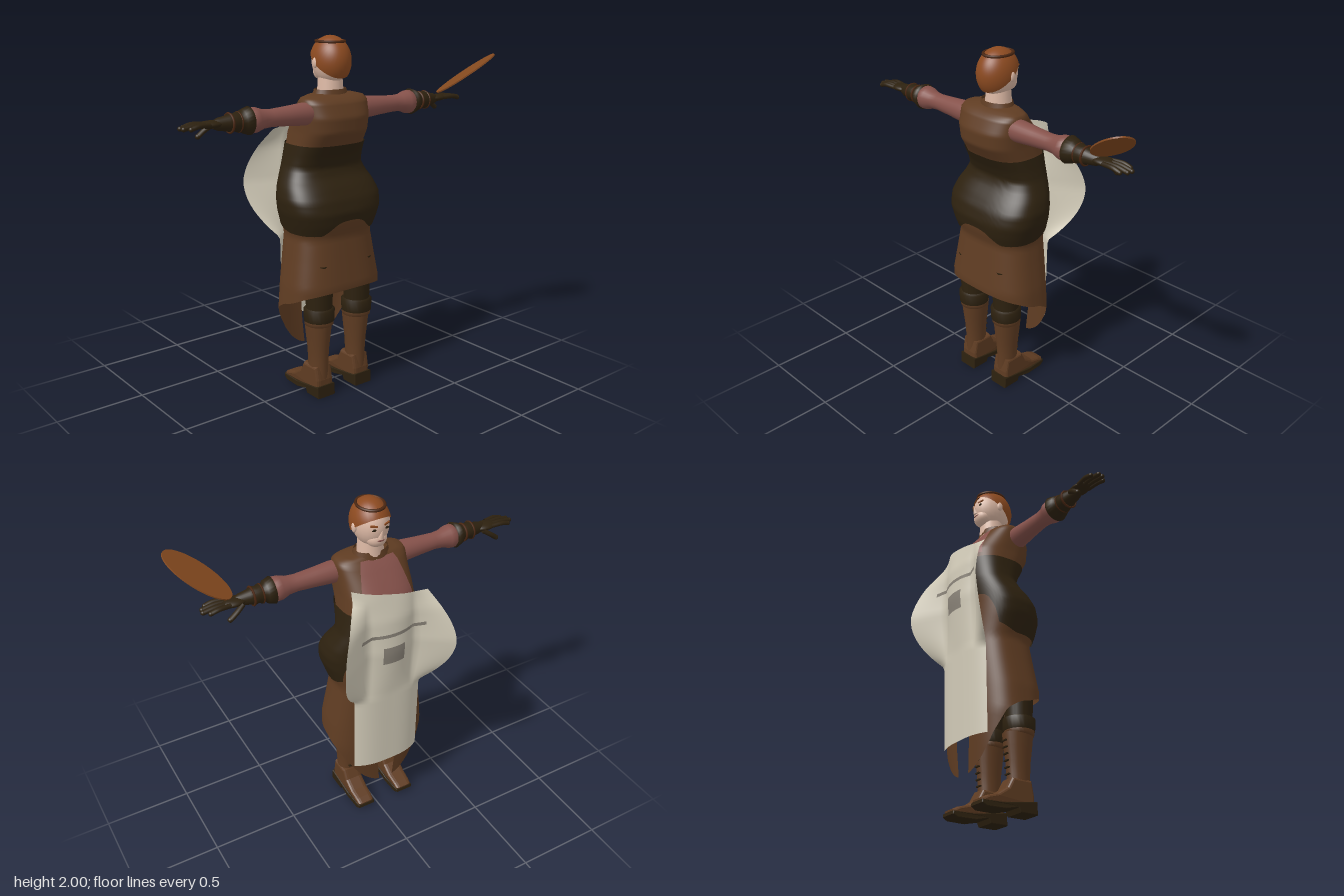
import * as THREE from 'three';

const CX = -0.055; // body centre line
const mat = (name, color) => Object.assign(new THREE.MeshStandardMaterial({ color, side: THREE.DoubleSide }), { name });
const { lerp, clamp } = THREE.MathUtils;

// linear lookup in rows sorted by descending or ascending first column
function lookup(rows, k, col) {
  const r = rows[0][0] > rows[rows.length - 1][0] ? [...rows].reverse() : rows;
  if (k <= r[0][0]) return r[0][col];
  for (let i = 1; i < r.length; i++) {
    if (k <= r[i][0]) return lerp(r[i - 1][col], r[i][col], (k - r[i - 1][0]) / (r[i][0] - r[i - 1][0]));
  }
  return r[r.length - 1][col];
}

// surface from a point function f(u, v), u and v in 0..1
function grid(f, nu, nv) {
  const pos = [], idx = [];
  for (let j = 0; j <= nv; j++) for (let i = 0; i <= nu; i++) pos.push(...f(i / nu, j / nv));
  for (let j = 0; j < nv; j++) for (let i = 0; i < nu; i++) {
    const a = j * (nu + 1) + i, b = a + nu + 1;
    idx.push(a, a + 1, b, b, a + 1, b + 1);
  }
  const g = new THREE.BufferGeometry();
  g.setAttribute('position', new THREE.Float32BufferAttribute(pos, 3));
  g.setIndex(idx);
  g.computeVertexNormals();
  return g;
}

// body profile: y, half width, back z, chest-side z
const BODY = [
  [1.705, 0.05, 0.06, -0.02], [1.70, 0.11, 0.09, -0.03], [1.685, 0.19, 0.13, -0.035], [1.66, 0.205, 0.165, -0.06],
  [1.58, 0.205, 0.2, -0.12], [1.5, 0.205, 0.195, -0.175], [1.43, 0.21, 0.15, -0.185], [1.36, 0.22, 0.11, -0.185],
  [1.3, 0.232, 0.085, -0.185], [1.25, 0.255, 0.105, -0.18], [1.2, 0.28, 0.15, -0.175], [1.14, 0.297, 0.19, -0.17],
  [1.07, 0.292, 0.21, -0.17], [1.0, 0.27, 0.2, -0.172], [0.93, 0.248, 0.178, -0.175], [0.8, 0.268, 0.195, -0.175],
  [0.65, 0.293, 0.215, -0.172], [0.5, 0.305, 0.2, -0.17], [0.35, 0.28, 0.18, -0.165], [0.2, 0.22, 0.15, -0.16],
];
function bodyPoint(th, y, off) {
  const hw = lookup(BODY, y, 1) + off, zb = lookup(BODY, y, 2) + off, zf = lookup(BODY, y, 3) - off;
  const pw = (t) => Math.sign(t) * Math.abs(t) ** 0.75;
  return [CX + hw * pw(Math.sin(th)), y, (zb + zf) / 2 - ((zb - zf) / 2) * pw(Math.cos(th))];
}
// clothing patch: angle starts and ends at the chest, hem height depends on angle
const garment = (top, hem, off, gap = 0, nv = 26) => grid((u, v) => {
  const th = lerp(gap, Math.PI * 2 - gap, u);
  return bodyPoint(th, lerp(top, hem(-Math.cos(th)), v), off);
}, 72, nv);

const SKIRT_HEM = [[-1, 0.2], [-0.85, 0.28], [-0.7, 0.38], [-0.4, 0.5], [0, 0.555], [0.5, 0.6], [1, 0.63]];
const CORSET_HEM = [[-1, 1.2], [-0.8, 1.17], [-0.5, 1.0], [0, 0.955], [0.85, 0.95], [0.93, 0.975], [1, 1.025]];

// apron sheet, a in -1..1 across, y height
const APRON_Z = [[0.38, -0.195], [0.9, -0.205], [1.2, -0.235], [1.4, -0.225], [1.6, -0.18]];
function apronPoint(s, y, off = 0) {
  const a = Math.abs(s);
  const wing = y > 0.88 && y < 1.53 ? Math.sin(Math.PI * ((y - 0.88) / 0.65) ** 0.9) : 0;
  const x = a * 0.21 + wing * 0.135 * Math.max(0, (a - 0.6) / 0.4);
  const fold = a < 0.65 ? 0.04 * (a / 0.65) ** 2 : 0.04 - 0.12 * (a - 0.65) / 0.35;
  const z = lookup(APRON_Z, y, 1) + 0.045 * a ** 3 * (1 - wing) + wing * fold;
  return [CX + Math.sign(s) * x, y, z - off];
}
const apronPatch = (s0, s1, y0, y1, off) =>
  grid((u, v) => apronPoint(lerp(s0, s1, u), lerp(y0, y1, v), off), 10, 4);

const lathe = (pts, n = 24) => new THREE.LatheGeometry(pts.map(([r, y]) => new THREE.Vector2(r, y)), n);

// side outline extruded across the foot; outline x runs toward the toe
function footPiece(pts, width, bevel) {
  const g = new THREE.ExtrudeGeometry(new THREE.Shape(pts.map(([f, y]) => new THREE.Vector2(f, y))), {
    depth: width - 2 * bevel, bevelThickness: bevel, bevelSize: bevel * 0.6, bevelOffset: -bevel * 0.6, bevelSegments: 3, steps: 1,
  });
  g.translate(0, 0, -width / 2 + bevel).rotateY(Math.PI / 2);
  const p = g.attributes.position;
  for (let i = 0; i < p.count; i++) p.setX(i, p.getX(i) * (1 - 1.8 * Math.max(0, -p.getZ(i) - 0.1)));
  g.computeVertexNormals();
  return g;
}

export function createModel() {
  const root = new THREE.Group();
  const M = {
    brown: mat('leather brown', 0x5f3c22), dark: mat('dark leather', 0x2d210f), pink: mat('shirt rose', 0x85514a),
    cream: mat('apron cream', 0xd3ccb9), grey: mat('pocket grey', 0x8b8479), skin: mat('skin', 0xdcb8a4),
    hair: mat('hair ginger', 0x8c4a20), copper: mat('copper pan', 0x84491f), band: mat('band brown', 0x4a2611),
  };
  const add = (name, geo, m, x = 0, y = 0, z = 0, parent = root) => {
    const mesh = new THREE.Mesh(geo, m);
    mesh.name = name;
    mesh.position.set(x, y, z);
    parent.add(mesh);
    return mesh;
  };
  const ball = (name, m, x, y, z, rx, ry, rz) =>
    add(name, new THREE.SphereGeometry(1, 24, 16).scale(rx, ry, rz), m, x, y, z);
  const rod = (name, m, pts, r) => add(name, new THREE.TubeGeometry(
    new THREE.CatmullRomCurve3(pts.map((p) => new THREE.Vector3(...p))), 8, r, 8), m);

  // torso clothing
  add('vest', garment(1.705, () => 1.4, 0), M.brown);
  add('corset', garment(1.43, (c) => lookup(CORSET_HEM, c, 1), 0.008), M.dark);
  add('skirt', garment(1.22, (c) => lookup(SKIRT_HEM, c, 1), 0, 0.12), M.brown);
  add('shirtFront', grid((u, v) => {
    const w = lerp(0.4, 0.75, v);
    return bodyPoint(lerp(-w, w, u), lerp(1.685, 1.46, v), 0.006);
  }, 16, 8), M.pink);
  add('collar', new THREE.CylinderGeometry(0.095, 0.108, 0.04, 28, 1, true).scale(1, 1, 0.75), M.brown, CX, 1.7, 0.03);

  // apron with pocket and strap
  add('apron', grid((u, v) => {
    const s = u * 2 - 1;
    return apronPoint(s, lerp(1.545 + 0.05 * s, 0.38, v));
  }, 40, 48), M.cream);
  add('pocket', apronPatch(-0.3, 0.32, 1.24, 1.13, 0.006), M.grey);
  add('apronStrap', apronPatch(-0.75, 0.75, 1.325, 1.305, 0.007), M.grey);

  // head, facing -z
  const hx = -0.05;
  add('neck', new THREE.CylinderGeometry(0.062, 0.075, 0.18, 24), M.skin, hx, 1.75, 0.025);
  ball('face', M.skin, hx, 1.865, 0.025, 0.092, 0.125, 0.113);
  ball('jaw', M.skin, hx, 1.805, -0.035, 0.058, 0.05, 0.052);
  const hairGeo = new THREE.SphereGeometry(1, 32, 20, 0, Math.PI * 2, 0, 1.66)
    .rotateX(0.61).scale(0.104, 0.135, 0.125);
  add('hair', hairGeo, M.hair, hx, 1.865, 0.028);
  const band = add('headband', new THREE.TorusGeometry(0.07, 0.008, 8, 32).rotateX(Math.PI / 2), M.band, hx, 1.968, 0.025);
  band.scale.set(1, 1, 1.2);
  const nose = add('nose', new THREE.ConeGeometry(0.016, 0.055, 10), M.skin, hx, 1.85, -0.093);
  nose.rotation.x = -0.35;
  ball('mouth', M.pink, hx, 1.808, -0.083, 0.022, 0.006, 0.006);
  for (const s of [-1, 1]) {
    ball('ear', M.skin, hx + s * 0.098, 1.86, 0.02, 0.012, 0.028, 0.018);
    ball('eye', M.dark, hx + s * 0.036, 1.872, -0.079, 0.014, 0.007, 0.004);
    const brow = add('eyebrow', new THREE.BoxGeometry(0.038, 0.008, 0.008), M.hair, hx + s * 0.037, 1.894, -0.077);
    brow.rotation.set(0, s * -0.3, s * 0.12);
  }

  // arms stretched out sideways
  for (const s of [-1, 1]) {
    const X = (d) => CX + s * d;
    const limb = (name, pts, m) => {
      add(name, lathe(pts).rotateZ(-s * Math.PI / 2), m, CX, 1.605, 0.07);
    };
    limb('sleeve', [[0.06, 0.16], [0.06, 0.22], [0.052, 0.32], [0.046, 0.42], [0.05, 0.47], [0.064, 0.51],
      [0.066, 0.54], [0.05, 0.565], [0.03, 0.57]], M.pink);
    limb('gloveCuff', [[0.04, 0.55], [0.073, 0.552], [0.06, 0.59], [0.042, 0.605], [0.052, 0.62], [0.044, 0.64],
      [0.05, 0.66], [0.04, 0.68], [0.032, 0.73], [0.02, 0.76]], M.dark);
    for (const d of [0.615, 0.665]) {
      const strap = add('gloveStrap', new THREE.TorusGeometry(0.048, 0.006, 6, 24), M.band, X(d), 1.605, 0.07);
      strap.rotation.y = Math.PI / 2;
    }
    ball('palm', M.dark, X(0.765), 1.608, 0.065, 0.068, 0.02, 0.046);
    [0.9, 0.925, 0.93, 0.9].forEach((d, i) => {
      const z = 0.11 - i * 0.027;
      rod('finger', M.dark, [[X(0.79), 1.61, lerp(z, 0.065, 0.2)], [X(0.86), 1.612, z], [X(d), 1.602, z]], 0.0125);
      ball('fingertip', M.dark, X(d), 1.602, z, 0.0125, 0.0125, 0.0125);
    });
    rod('thumb', M.dark, [[X(0.73), 1.6, 0.03], [X(0.77), 1.575, 0.015], [X(0.81), 1.545, 0.012]], 0.014);
    ball('thumbTip', M.dark, X(0.81), 1.545, 0.012, 0.014, 0.014, 0.014);
  }

  // tilted pan beside the hand
  const a = new THREE.Vector3(0.14, 0.101, 0.06), b = new THREE.Vector3(0, 0.0488, 0.1157);
  const n = b.clone().cross(a).normalize();
  const pan = new THREE.CylinderGeometry(1, 1, 0.008, 48);
  pan.applyMatrix4(new THREE.Matrix4().makeBasis(a, n, b));
  pan.computeVertexNormals();
  add('pan', pan.toNonIndexed(), M.copper, 0.842, 1.748, 0.17).geometry.computeVertexNormals();

  // legs and boots
  for (const s of [-1, 1]) {
    const x = CX + s * 0.135;
    add('stocking', new THREE.CylinderGeometry(0.085, 0.072, 0.3, 24), M.dark, x, 0.63, 0.1);
    add('bootShaft', lathe([[0.052, 0.1], [0.052, 0.2], [0.056, 0.28], [0.064, 0.36], [0.07, 0.43]])
      .scale(1, 1, 1.25), M.brown, x, 0, 0.09);
    add('bootTrim', lathe([[0.065, 0.42], [0.08, 0.425], [0.082, 0.45], [0.078, 0.455]]), M.brown, x, 0, 0.1);
    add('bootCuff', lathe([[0.07, 0.44], [0.086, 0.45], [0.088, 0.515], [0.07, 0.525]]), M.dark, x, 0, 0.1);
    add('bootFoot', footPiece([[-0.155, 0.04], [0.16, 0.025], [0.165, 0.05], [0.13, 0.068], [0.07, 0.085],
      [0.01, 0.125], [-0.02, 0.18], [-0.14, 0.18], [-0.155, 0.1]], 0.112, 0.025), M.brown, x, 0, 0);
    add('bootSole', footPiece([[-0.168, 0], [-0.06, 0], [-0.05, 0.025], [0.03, 0.006], [0.14, 0.006], [0.168, 0.022],
      [0.165, 0.04], [0.04, 0.04], [-0.06, 0.055], [-0.165, 0.07]], 0.122, 0.008), M.dark, x, 0, 0);
    for (let i = 0; i < 7; i++) {
      const y = 0.17 + i * 0.036;
      add('bootLace', new THREE.BoxGeometry(0.035, 0.007, 0.012), M.dark, x, y, 0.09 - 1.25 * lerp(0.052, 0.067, i / 6));
    }
  }
  return root;
}
